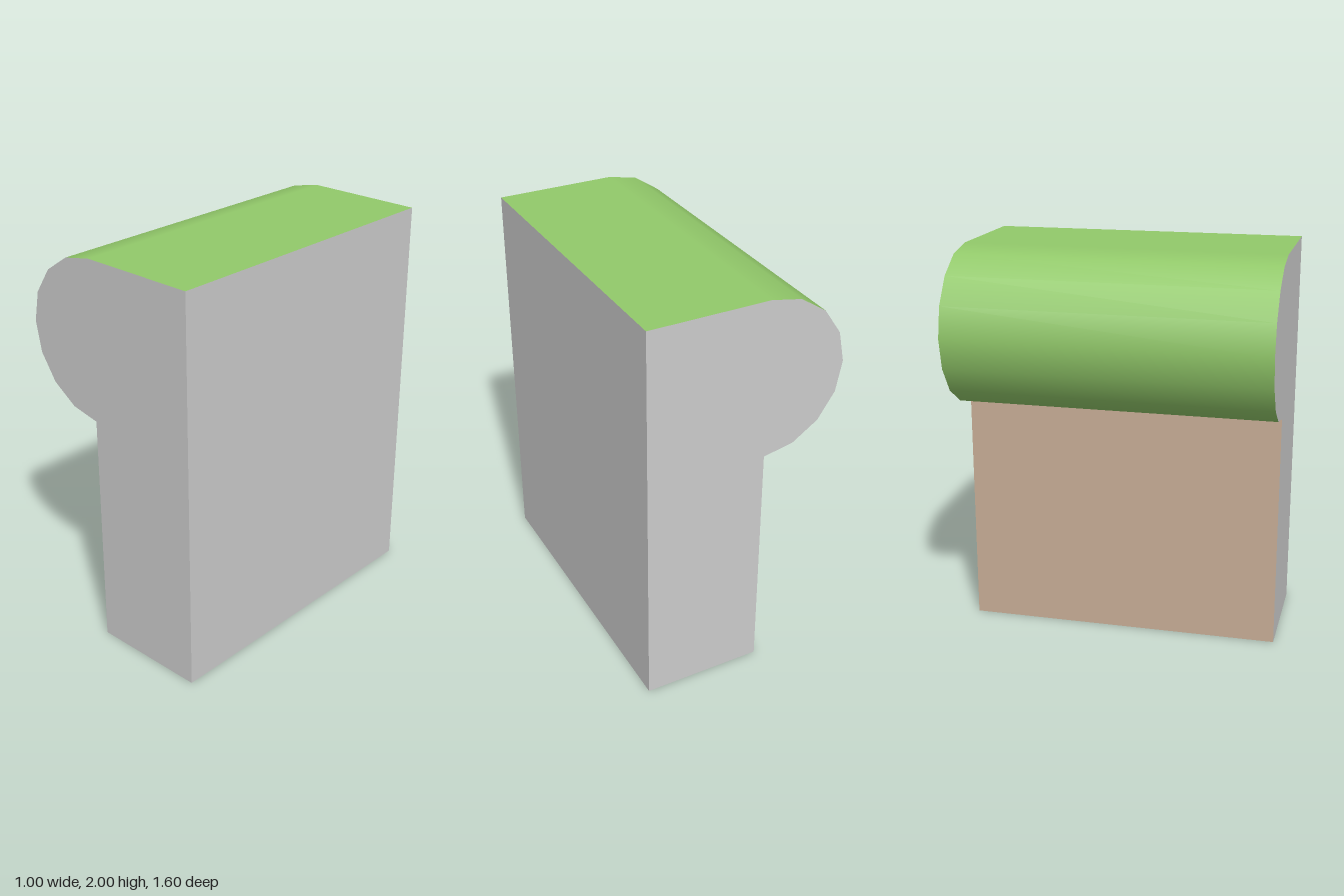
import * as THREE from 'three';

const DEPTH = 1.6;    // length along z
const R = 0.4;        // radius of the rounded nose
const NOSE_X = -0.1;  // nose axis, also the face of the wall below it
const NOSE_Y = 1.6;
const RIGHT = 0.5;
const TOP = 2;
const STEPS = 8;

export function createModel() {
  const group = new THREE.Group();
  group.name = 'roundedNoseBlock';

  const grey = new THREE.MeshStandardMaterial({ color: 0xcccccc });
  const green = new THREE.MeshStandardMaterial({ color: 0x92c96a });
  const brown = new THREE.MeshStandardMaterial({ color: 0xc8ae96 });

  const add = (name, geometry, material, x, y, z = 0) => {
    const mesh = new THREE.Mesh(geometry, material);
    mesh.name = name;
    mesh.position.set(x, y, z);
    group.add(mesh);
  };

  // Profile shared by both ends
  const points = [
    new THREE.Vector2(NOSE_X, 0),
    new THREE.Vector2(RIGHT, 0),
    new THREE.Vector2(RIGHT, TOP),
  ];
  for (let i = 0; i <= STEPS; i++) {
    const a = Math.PI / 2 + (Math.PI * i) / STEPS;
    points.push(new THREE.Vector2(NOSE_X + R * Math.cos(a), NOSE_Y + R * Math.sin(a)));
  }
  const profile = new THREE.Shape(points);

  // End faces
  add('frontEnd', new THREE.ShapeGeometry(profile), grey, 0, 0, DEPTH / 2);
  const back = new THREE.ShapeGeometry(profile);
  back.index.array.reverse(); // turn the face to -z
  back.computeVertexNormals();
  add('backEnd', back, grey, 0, 0, -DEPTH / 2);

  // Flat walls
  const width = RIGHT - NOSE_X;
  const midX = (RIGHT + NOSE_X) / 2;
  const wallHeight = NOSE_Y - R;
  const quarter = Math.PI / 2;
  add('sideWall', new THREE.PlaneGeometry(DEPTH, TOP).rotateY(quarter), grey, RIGHT, TOP / 2);
  add('bottom', new THREE.PlaneGeometry(width, DEPTH).rotateX(quarter), grey, midX, 0);
  add('wallUnderNose', new THREE.PlaneGeometry(DEPTH, wallHeight).rotateY(-quarter), brown, NOSE_X, wallHeight / 2);
  add('flatTop', new THREE.PlaneGeometry(width, DEPTH).rotateX(-quarter), green, midX, TOP);

  // Half-round nose
  const nose = new THREE.CylinderGeometry(R, R, DEPTH, STEPS, 1, true, Math.PI, Math.PI).rotateX(quarter);
  add('roundedNose', nose, green, NOSE_X, NOSE_Y);

  return group;
}
